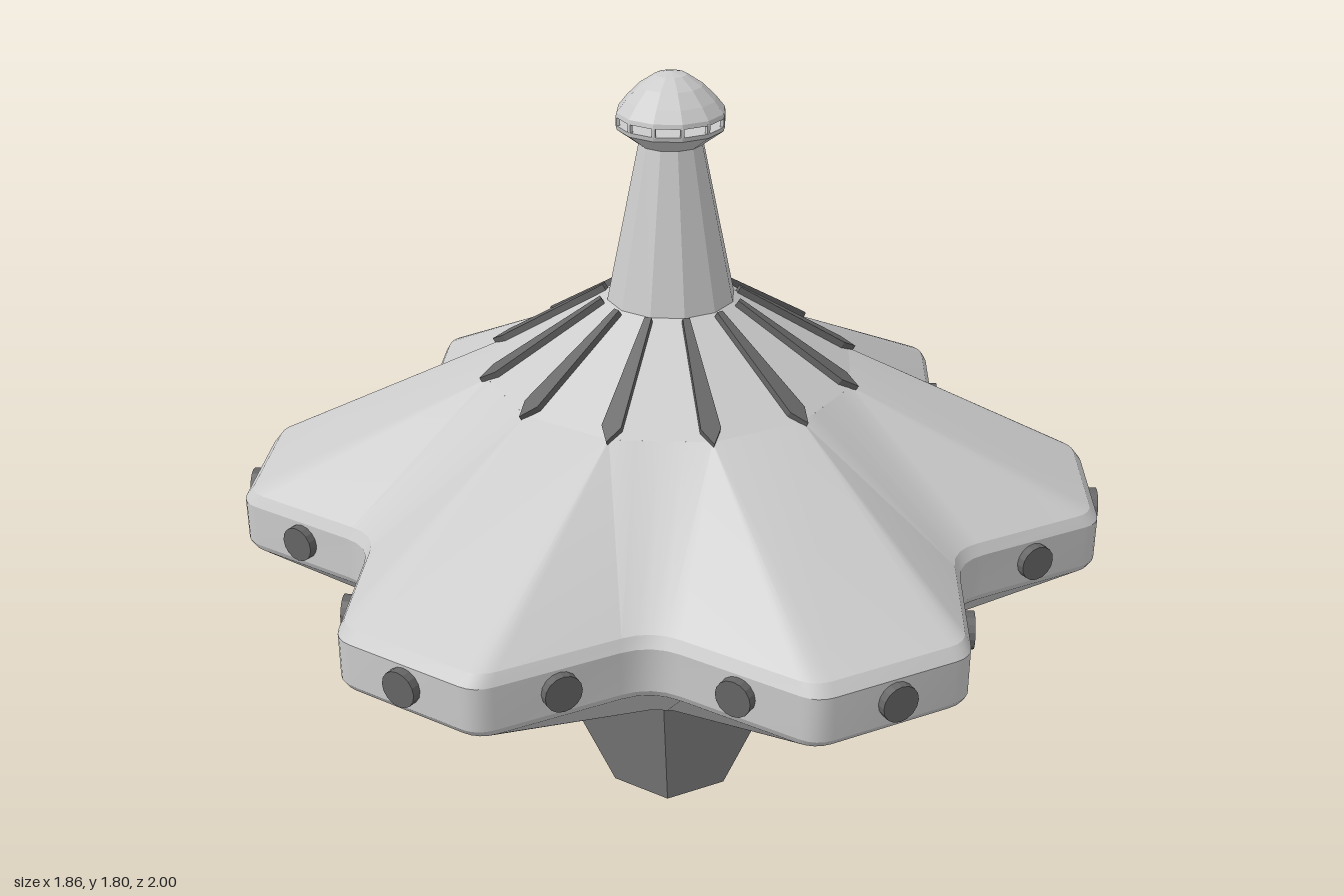
import * as THREE from 'three';
import { toCreasedNormals } from 'three/addons/utils/BufferGeometryUtils.js';

const V = (x, y) => new THREE.Vector2(x, y);
const grey = new THREE.MeshStandardMaterial({ color: 0xcccccc });
const greyFlat = new THREE.MeshStandardMaterial({ color: 0xcccccc, flatShading: true });
const dark = new THREE.MeshStandardMaterial({ color: 0x666666, flatShading: true });
const stemGrey = new THREE.MeshStandardMaterial({ color: 0x888888, flatShading: true });
const SECTOR = Math.PI / 3;

// Lobe coordinates: x = sideways, y = outward; a turns the lobe about the axis
const turn = (p, a) => V(p.y * Math.sin(a) + p.x * Math.cos(a), p.y * Math.cos(a) - p.x * Math.sin(a));
const mirror = p => V(-p.x, p.y);

// Rounded corner from a towards b, cut by the given trim length
function roundCorner(prev, corner, next, trim, steps) {
  const toward = q => q.clone().sub(corner).setLength(trim).add(corner);
  return new THREE.QuadraticBezierCurve(toward(prev), corner, toward(next)).getPoints(steps);
}

// Six-lobed rim outline, and inner twelve-sided rings with matching points
const CORNER = V(0.18, 0.98), VALLEY = V(0.373, 0.646), STEPS = 4;
function rimRing() {
  const right = roundCorner(mirror(CORNER), CORNER, VALLEY, 0.04, STEPS);
  const left = right.map(mirror).reverse();
  const valley = roundCorner(CORNER, VALLEY, turn2(mirror(CORNER)), 0.07, STEPS);
  return sixTimes([...left, ...right, ...valley]);
}
function innerRing(corner) {
  const left = mirror(corner), next = turn2(left), pts = [];
  for (let i = 0; i <= STEPS; i++) pts.push(left);
  for (let i = 0; i <= STEPS; i++) pts.push(corner);
  for (let i = 0; i <= STEPS; i++) pts.push(corner.clone().lerp(next, i / STEPS));
  return sixTimes(pts);
}
function turn2(p) { return turn(p, SECTOR); }
function sixTimes(pts) {
  const out = [];
  for (let k = 0; k < 6; k++) pts.forEach(p => out.push(turn(p, k * SECTOR)));
  return out;
}

// Skin a stack of rings listed from bottom to top
function loft(rings) {
  const pos = [];
  const tri = (...v) => {
    if (v[0].distanceTo(v[1]) < 1e-5 || v[1].distanceTo(v[2]) < 1e-5 || v[2].distanceTo(v[0]) < 1e-5) return;
    v.forEach(p => pos.push(p.x, p.y, p.z));
  };
  const loops = rings.map(({ pts, y, s = 1 }) => pts.map(p => new THREE.Vector3(p.x * s, y, p.y * s)));
  for (let r = 0; r + 1 < loops.length; r++) {
    const A = loops[r], B = loops[r + 1], n = A.length;
    for (let i = 0; i < n; i++) {
      const j = (i + 1) % n;
      tri(A[i], A[j], B[j]);
      tri(A[i], B[j], B[i]);
    }
  }
  const g = new THREE.BufferGeometry();
  g.setAttribute('position', new THREE.Float32BufferAttribute(pos, 3));
  return toCreasedNormals(g, 0.3);
}

function add(parent, name, geometry, material) {
  const mesh = new THREE.Mesh(geometry, material);
  mesh.name = name;
  parent.add(mesh);
  return mesh;
}

// Faceted turned part; the profile runs from bottom to top
const turned = (profile, sides, start) =>
  new THREE.LatheGeometry(profile.map(([r, y]) => V(r, y)), sides, start);

export function createModel() {
  const model = new THREE.Group();
  model.name = 'model';
  const A12 = Math.PI / 12;

  // Lobed hull with bevelled rim
  const rim = rimRing(), low = innerRing(V(0.175, 0.353)), high = innerRing(V(0.11, 0.41));
  add(model, 'hull', loft([
    { pts: low, y: 0.42, s: 0.8 },
    { pts: low, y: 0.42 },
    { pts: rim, y: 0.7, s: 0.99 },
    { pts: rim, y: 0.715 },
    { pts: rim, y: 0.815 },
    { pts: rim, y: 0.84, s: 0.98 },
    { pts: high, y: 1.11 },
  ]), grey);

  // Six-sided stem with a hollow foot
  add(model, 'stem', turned([[0, 0.08], [0.145, 0], [0.157, 0], [0.34, 0.425]], 6, Math.PI / 6), stemGrey);

  // Central roof and tower
  add(model, 'roof', turned([[0.4245, 1.11], [0.145, 1.28]], 12, A12), greyFlat);
  add(model, 'tower', turned([[0.147, 1.275], [0.072, 1.64]], 12, A12), greyFlat);

  // Lookout: flared floor, open window band with posts, and dome
  add(model, 'lookoutFloor', turned(
    [[0.07, 1.635], [0.12, 1.672], [0.122, 1.682], [0, 1.682]], 12, A12), greyFlat);
  add(model, 'lookoutDome', turned(
    [[0, 1.7], [0.122, 1.7], [0.12, 1.71], [0.1, 1.735], [0.07, 1.765], [0.035, 1.788], [0, 1.796]], 12, A12), greyFlat);

  // Tapered rib outline with a pointed outer end
  const ribShape = new THREE.Shape([
    V(-0.008, -0.155), V(0.008, -0.155), V(0.022, 0.135), V(0, 0.175), V(-0.022, 0.135)]);
  const ribGeo = new THREE.ExtrudeGeometry(ribShape, { depth: 0.025, bevelEnabled: false });
  ribGeo.rotateX(Math.PI / 2).translate(0, 0.012, 0);
  ribGeo.rotateX(Math.atan2(0.17, 0.275)).translate(0, 1.195, 0.287);
  const postGeo = new THREE.BoxGeometry(0.008, 0.024, 0.008).translate(0, 1.691, 0.117);
  for (let i = 0; i < 12; i++) {
    const a = A12 * (2 * i + 1);
    add(model, 'rib', ribGeo, dark).rotation.y = a;
    add(model, 'lookoutPost', postGeo, greyFlat).rotation.y = a;
  }

  // Three round portholes on every lobe
  const portGeo = new THREE.CylinderGeometry(0.041, 0.041, 0.04, 16).rotateX(Math.PI / 2);
  const side = CORNER.clone().lerp(VALLEY, 0.47);
  for (let k = 0; k < 6; k++) {
    for (const [p, tilt] of [[V(0, 0.98), 0], [side, SECTOR], [mirror(side), -SECTOR]]) {
      const q = turn(p, k * SECTOR);
      const port = add(model, 'porthole', portGeo, dark);
      port.position.set(q.x, 0.768, q.y);
      port.rotation.y = k * SECTOR + tilt;
    }
  }
  return model;
}
